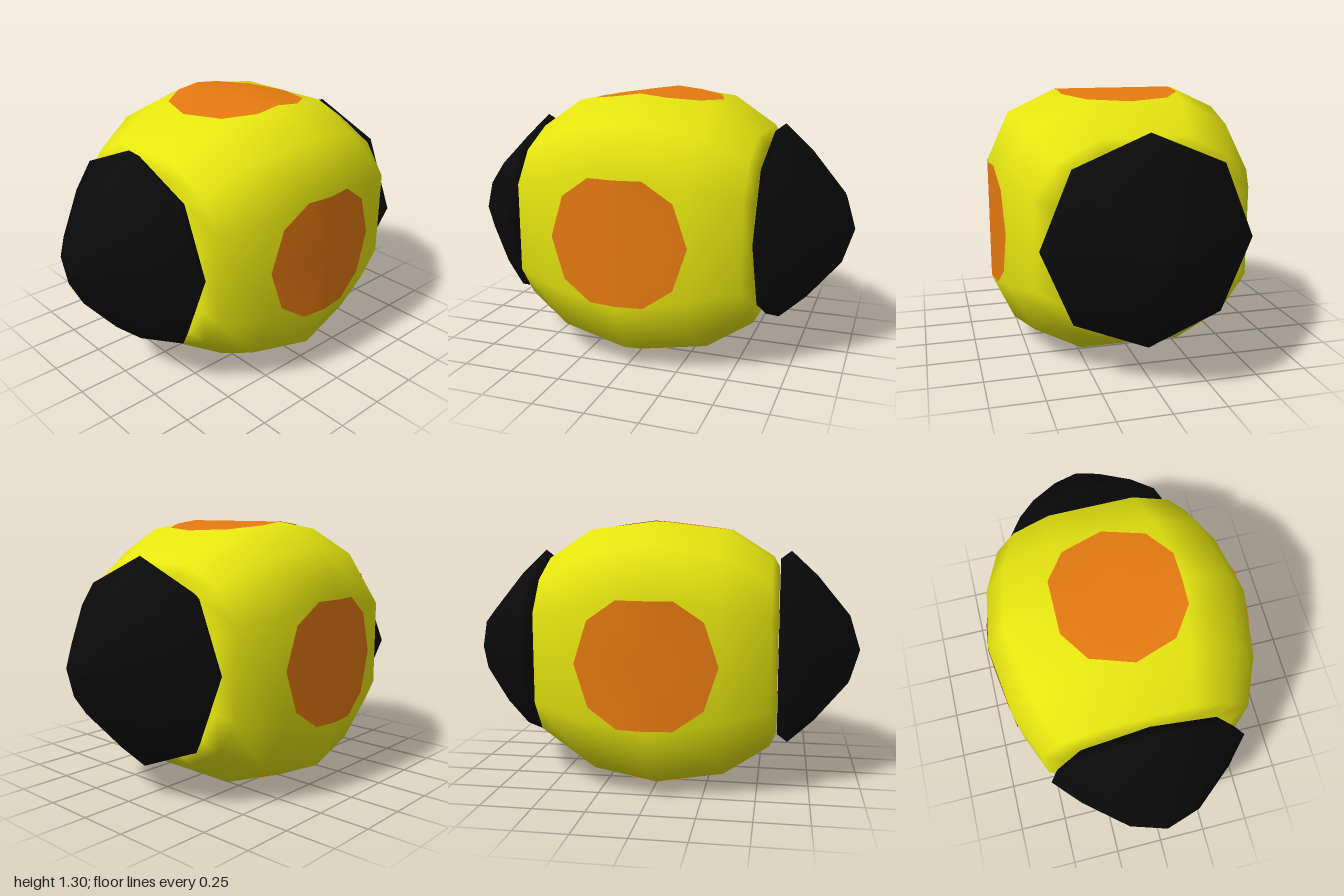
import * as THREE from 'three';

const CENTRE_Y = 0.648;

function meshGeometry(positions, indices) {
  const g = new THREE.BufferGeometry();
  g.setAttribute('position', new THREE.Float32BufferAttribute(positions, 3));
  g.setIndex(indices);
  g.computeVertexNormals();
  return g;
}

// One 12-sided section: a square with softened corners
function section(z, w, h, flat, corner) {
  const quad = [[w, flat * w], [corner * w, corner * h], [flat * w, h]];
  const q2 = [...quad].reverse().map(([x, y]) => [-x, y]);
  const top = [...quad, ...q2];
  const bottom = top.map(([x, y]) => [-x, -y]);
  return [...top, ...bottom].map(([x, y]) => [x, y, z]);
}

// Body lofted through sections from back to front
function bodyGeometry() {
  const half = [
    [0, 0.645, 0.645, 0.48, 0.835],
    [0.33, 0.602, 0.606, 0.42, 0.8],
    [0.555, 0.51, 0.465, 0.42, 0.79],
    [0.587, 0.42, 0.41, 0.42, 0.78],
  ];
  const rows = [...half.slice(1).reverse().map(([z, ...r]) => [-z, ...r]), ...half];
  const pos = [], idx = [], n = 12;
  rows.forEach((r) => section(...r).forEach((p) => pos.push(...p)));
  for (let r = 0; r < rows.length - 1; r++) {
    for (let i = 0; i < n; i++) {
      const a = r * n + i, b = r * n + (i + 1) % n;
      idx.push(a, b, b + n, a, b + n, a + n);
    }
  }
  const back = pos.length / 3, front = back + 1, last = (rows.length - 1) * n;
  pos.push(0, 0, -0.587, 0, 0, 0.587);
  for (let i = 0; i < n; i++) {
    const j = (i + 1) % n;
    idx.push(back, j, i, front, last + i, last + j);
  }
  return meshGeometry(pos, idx);
}

// Thin gently folded spot, facing +x
function spotGeometry() {
  const quarter = [[0.295, 0], [0.295, 0.13], [0.2, 0.267], [0, 0.332]];
  const side = [...quarter, ...quarter.slice(0, 3).reverse().map(([y, z]) => [-y, z])];
  const outline = [...side, ...side.slice(1, 6).reverse().map(([y, z]) => [y, -z])];
  const pos = [0.648, 0, 0], idx = [], n = outline.length;
  outline.forEach(([y, z], i) => {
    pos.push(0.648 - 0.125 * Math.abs(z), y, z);
    idx.push(0, i + 1, (i + 1) % n + 1);
  });
  return meshGeometry(pos, idx);
}

export function createModel() {
  const yellow = new THREE.MeshStandardMaterial({ color: 0xe6e610 });
  const orange = new THREE.MeshStandardMaterial({ color: 0xe67a10 });
  const black = new THREE.MeshStandardMaterial({ color: 0x0a0a0a });
  const model = new THREE.Group();
  model.name = 'spottedCapsule';
  const add = (name, geometry, material) => {
    const mesh = new THREE.Mesh(geometry, material);
    mesh.name = name;
    mesh.position.y = CENTRE_Y;
    model.add(mesh);
    return mesh;
  };

  add('body', bodyGeometry(), yellow);

  // Four spots around the body
  const spot = spotGeometry();
  spot.computeBoundingBox();
  orange.side = THREE.DoubleSide;
  ['leftSpot', 'topSpot', 'rightSpot', 'bottomSpot'].forEach((name, i) => {
    add(name, spot, orange).rotation.z = i * Math.PI / 2;
  });

  // Eight-sided domes at both ends
  const profile = [[0, 0.592], [0.46, 0.592], [0.5, 0.645], [0.375, 0.78], [0.175, 0.945], [0, 1]];
  const dome = new THREE.LatheGeometry(profile.map(([r, y]) => new THREE.Vector2(r, y)), 8);
  add('frontDome', dome, black).rotation.x = Math.PI / 2;
  add('backDome', dome, black).rotation.x = -Math.PI / 2;

  return model;
}
